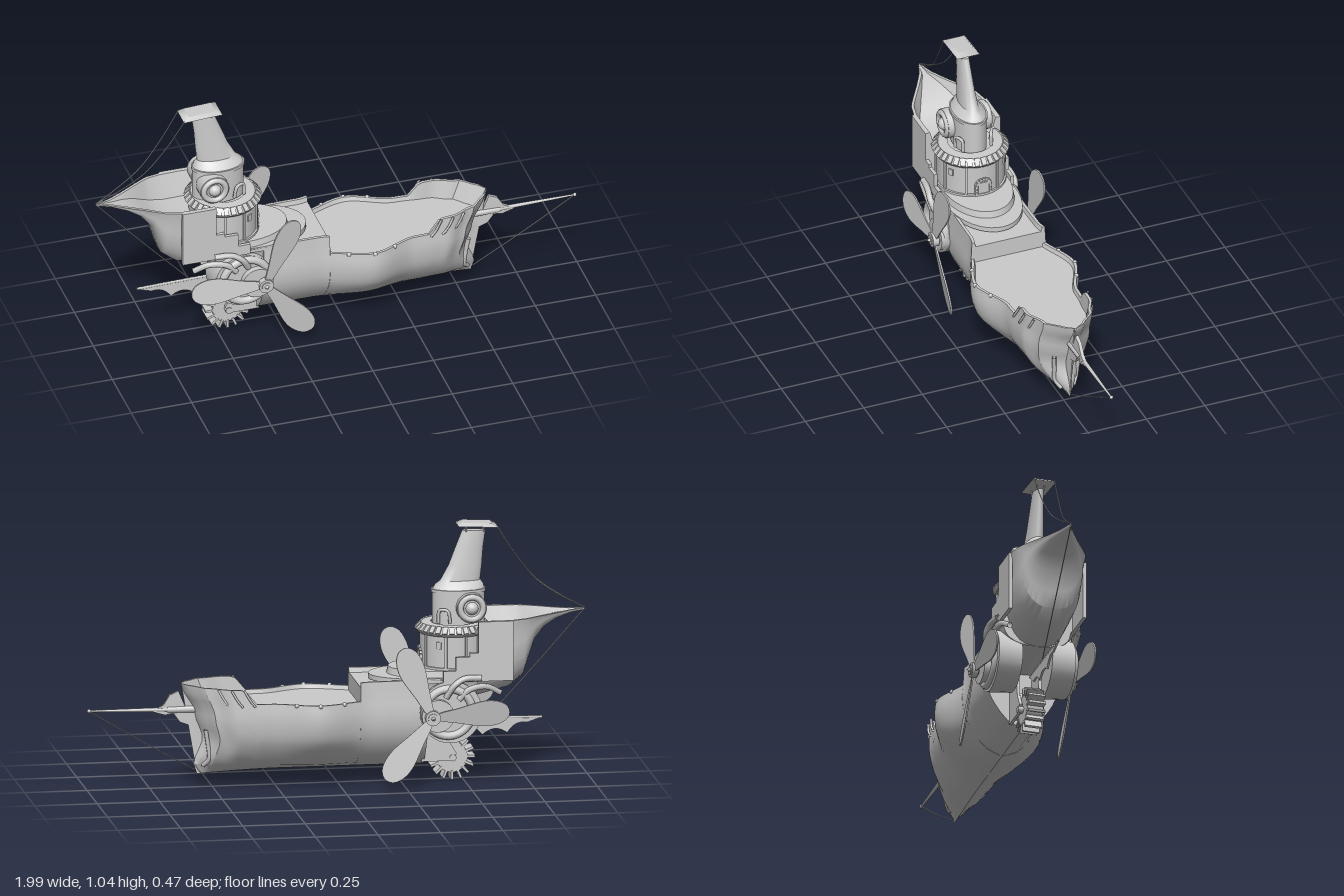
import * as THREE from 'three';
import { toCreasedNormals } from 'three/addons/utils/BufferGeometryUtils.js';

const mat = new THREE.MeshStandardMaterial({ color: 0xcccccc, side: THREE.DoubleSide });
const V = (x, y, z) => new THREE.Vector3(x, y, z);

export function createModel() {
  const root = new THREE.Group();
  const add = (name, geo, pos = [0, 0, 0], rot = [0, 0, 0], parent = root) => {
    const m = new THREE.Mesh(geo, mat);
    m.name = name;
    m.position.set(...pos);
    m.rotation.set(...rot);
    parent.add(m);
    return m;
  };
  const cyl = (r1, r2, h, n = 24) => new THREE.CylinderGeometry(r1, r2, h, n);
  const box = (x, y, z) => new THREE.BoxGeometry(x, y, z);
  const tube = (name, pts, r, parent = root) =>
    add(name, new THREE.TubeGeometry(new THREE.CatmullRomCurve3(pts.map(p => V(...p))), 20, r, 6), [0, 0, 0], [0, 0, 0], parent);
  const plate = (pts, depth, spline = false) => {
    const p = pts.map(a => new THREE.Vector2(...a));
    const s = new THREE.Shape();
    if (spline) { s.moveTo(p[0].x, p[0].y); s.splineThru(p.slice(1)); } else s.setFromPoints(p);
    return new THREE.ExtrudeGeometry(s, { depth, bevelEnabled: false, curveSegments: 20 }).translate(0, 0, -depth / 2);
  };
  // Smoothed lookup in a table of [x, value...] rows
  const lookup = (rows, x, smooth = true) => {
    let i = 0;
    while (i < rows.length - 2 && x > rows[i + 1][0]) i++;
    let t = THREE.MathUtils.clamp((x - rows[i][0]) / (rows[i + 1][0] - rows[i][0]), 0, 1);
    if (smooth) t = t * t * (3 - 2 * t);
    return rows[i][1] + (rows[i + 1][1] - rows[i][1]) * t;
  };
  // Skin closed sections, each mirrored from its half outline, with end caps
  const loft = (halves, crease = 0.6) => {
    const rings = halves.map(h => [...h, ...h.slice(1, -1).reverse().map(p => V(p.x, p.y, -p.z))]);
    const n = rings[0].length, pos = [], idx = [];
    rings.flat().forEach(p => pos.push(p.x, p.y, p.z));
    for (let i = 0; i < rings.length - 1; i++)
      for (let j = 0; j < n; j++) {
        const a = i * n + j, b = i * n + (j + 1) % n;
        idx.push(a, a + n, b, b, a + n, b + n);
      }
    const last = (rings.length - 1) * n;
    for (let j = 1; j < n - 1; j++) idx.push(0, j, j + 1, last, last + j + 1, last + j);
    const g = new THREE.BufferGeometry();
    g.setAttribute('position', new THREE.Float32BufferAttribute(pos, 3));
    g.setIndex(idx);
    return toCreasedNormals(g, crease);
  };

  // Main hull with bulwark, sunken deck and curved stem
  const width = [[-0.34, 0.152], [-0.12, 0.155], [0.1, 0.222], [0.29, 0.155], [0.42, 0.147], [0.5, 0.11], [0.545, 0.06], [0.57, 0.008]];
  const stem = [[0.05, 0.555], [0.09, 0.575], [0.2, 0.54], [0.3, 0.57], [0.42, 0.625]];
  const flare = [[0.065, 0], [0.075, 0.25], [0.11, 0.5], [0.15, 0.7], [0.2, 0.89], [0.25, 0.97], [0.3, 1], [0.36, 0.97], [0.43, 0.95]];
  const stations = [];
  for (let i = 0; i <= 12; i++) stations.push([-0.34 + 0.27 * i / 12, 0.43, 0.41]);
  for (let i = 0; i <= 20; i++) stations.push([-0.069 + 0.409 * i / 20, 0.355, 0.338]);
  for (let i = 1; i <= 14; i++) stations.push([0.34 + 0.23 * i / 14, i < 3 ? 0.355 + 0.025 * i : 0.41 + i * 0.0008, 0.338]);
  add('hull', loft(stations.map(([x, rail, deck]) => {
    const w = lookup(width, x), k = THREE.MathUtils.clamp((x - 0.25) / 0.32, 0, 1) ** 1.5;
    const at = (y, z) => V(x + k * (lookup(stem, y) - 0.57), y - (y < 0.08 ? 0.012 * k : 0), z);
    const half = [];
    for (let i = 0; i <= 12; i++) {
      const y = 0.065 + (rail - 0.065) * i / 12;
      half.push(at(y, w * lookup(flare, y, false)));
    }
    const top = w * lookup(flare, rail, false), inner = Math.max(top - 0.012, 0.002);
    return [...half, at(rail, inner), at(deck, inner * 0.97), at(deck, 0)];
  })));

  // Raised stern sweeping up to a pointed tail: x, half width, bottom, top, floor
  const stern = [[-0.99, 0.003, 0.662, 0.67, 0.669], [-0.93, 0.026, 0.653, 0.667, 0.66], [-0.87, 0.06, 0.635, 0.665, 0.645], [-0.82, 0.09, 0.605, 0.665, 0.625],
    [-0.78, 0.115, 0.555, 0.664, 0.6], [-0.755, 0.13, 0.48, 0.663, 0.585], [-0.735, 0.14, 0.415, 0.662, 0.575],
    [-0.68, 0.152, 0.37, 0.66, 0.56], [-0.6, 0.154, 0.35, 0.66, 0.56], [-0.541, 0.152, 0.335, 0.66, 0.56],
    [-0.54, 0.15, 0.335, 0.43, 0.42], [-0.33, 0.15, 0.3, 0.43, 0.42]];
  add('stern', loft(stern.map(([x, w, b, t, f]) => {
    const half = [];
    for (let i = 0; i <= 8; i++) {
      const a = i / 8 * Math.PI / 2;
      half.push(V(x, b + (t - b) * (1 - Math.cos(a)) * 0.8, w * 0.92 * Math.sin(a) ** 0.7));
    }
    const inner = Math.max(w - 0.012, 0.001);
    return [...half, V(x, t, w), V(x, t, inner), V(x, f, inner * 0.8), V(x, f, 0)];
  })));

  // Terraces leading up to the tower
  add('lowerTerrace', cyl(0.15, 0.15, 0.02, 40).scale(1.5, 1, 1), [-0.35, 0.425, 0]);
  add('upperTerrace', cyl(0.135, 0.14, 0.03, 40).scale(1.45, 1, 1), [-0.4, 0.447, 0]);

  // Round tower with tiled cornice, arched door, ribs and windows
  const tower = new THREE.Group();
  tower.name = 'tower';
  tower.position.set(-0.465, 0, 0);
  root.add(tower);
  add('towerWall', cyl(0.135, 0.135, 0.16, 40), [0, 0.53, 0], [0, 0, 0], tower);
  add('towerBase', cyl(0.143, 0.143, 0.012, 40), [0, 0.465, 0], [0, 0, 0], tower);
  const profile = [[0.1, 0.595], [0.142, 0.597], [0.15, 0.607], [0.13, 0.632], [0.09, 0.635]];
  add('corniceRoof', toCreasedNormals(new THREE.LatheGeometry(profile.map(p => new THREE.Vector2(...p)), 40), 0.5), [0, 0, 0], [0, 0, 0], tower);
  for (let i = 0; i < 32; i++) {
    const a = i / 32 * Math.PI * 2;
    add('corniceTile', box(0.032, 0.008, 0.02), [0.14 * Math.cos(a), 0.622, 0.14 * Math.sin(a)], [0, -a, -0.8], tower);
  }
  add('door', box(0.006, 0.05, 0.044), [0.136, 0.495, 0], [0, 0, 0], tower);
  for (let i = 0; i < 9; i++) {
    const a = i / 8 * Math.PI;
    add('doorArchStone', box(0.014, 0.011, 0.012), [0.134, 0.505 + 0.03 * Math.sin(a), 0.03 * Math.cos(a)], [-a, 0, 0], tower);
  }
  for (const s of [-1, 1]) {
    for (let i = 0; i < 3; i++) add('doorJambStone', box(0.014, 0.01, 0.011), [0.132, 0.472 + i * 0.013, s * 0.03], [0, 0, 0], tower);
    for (const a of [0.5, 1.2, 1.8])
      add('towerRib', box(0.012, 0.14, 0.01), [0.135 * Math.cos(a), 0.53, s * 0.135 * Math.sin(a)], [0, -s * a, 0], tower);
    const a = 0.98;
    add('towerWindow', box(0.012, 0.028, 0.02), [0.134 * Math.cos(a), 0.56, s * 0.134 * Math.sin(a)], [0, -s * a, 0], tower);
  }

  // Boiler house with domed top and tall leaning funnel
  add('boiler', cyl(1, 1, 0.145, 40).scale(0.105, 1, 0.066), [-0.485, 0.695, 0]);
  add('boilerBand', cyl(1, 1, 0.012, 40).scale(0.109, 1, 0.07), [-0.485, 0.762, 0]);
  const ellipses = [[0.765, -0.485, 0.105, 0.066], [0.785, -0.488, 0.096, 0.05], [0.8, -0.492, 0.08, 0.034], [0.86, -0.512, 0.067, 0.029], [0.93, -0.528, 0.056, 0.024], [1.0, -0.547, 0.047, 0.02]];
  add('funnel', loft(ellipses.map(([y, cx, rx, rz]) => Array.from({ length: 17 }, (_, i) => {
    const a = i / 16 * Math.PI;
    return V(cx + rx * Math.cos(a), y, rz * Math.sin(a));
  }))));
  add('funnelCap', cyl(0.7, 1, 0.014, 4).rotateY(Math.PI / 4).scale(0.113, 1, 0.068), [-0.56, 1.026, 0], [0, 0, 0.05]);
  for (const x of [-0.585, -0.515]) for (const z of [-0.015, 0.015]) add('capStrut', cyl(0.003, 0.003, 0.03, 6), [x, 1.01, z]);

  // Side pieces, built once per side
  const blade = plate([[0.02, 0.014], [0.1, 0.032], [0.2, 0.055], [0.27, 0.05], [0.305, 0.02], [0.3, -0.02], [0.26, -0.045], [0.2, -0.05], [0.1, -0.03], [0.02, -0.014], [0.02, 0.014]], 0.006, true);
  blade.rotateX(0.18);
  const panel = plate([[-0.68, 0.42], [-0.68, 0.66], [-0.54, 0.66], [-0.54, 0.535], [-0.505, 0.535], [-0.505, 0.52], [-0.45, 0.52], [-0.45, 0.465], [-0.4, 0.465], [-0.4, 0.42]], 0.014);
  for (const s of [-1, 1]) {
    const side = new THREE.Group();
    side.name = s > 0 ? 'frontSide' : 'backSide';
    root.add(side);
    const put = (name, geo, pos, rot) => add(name, geo, [pos[0], pos[1], pos[2] * s], rot, side);
    const X = [Math.PI / 2, 0, 0];
    put('steppedPanel', panel, [0, 0, 0.153]);
    // Eye-like porthole on the boiler
    put('portholeDrum', cyl(0.06, 0.06, 0.06, 32), [-0.525, 0.7, 0.06], X);
    put('portholeRing', new THREE.TorusGeometry(0.045, 0.012, 8, 32), [-0.525, 0.7, 0.09]);
    put('portholeLens', new THREE.SphereGeometry(0.026, 20, 12), [-0.525, 0.7, 0.086]);
    tube('boilerPipe', [[-0.44, 0.64, s * 0.075], [-0.43, 0.69, s * 0.078], [-0.4, 0.69, s * 0.062], [-0.395, 0.64, s * 0.06]], 0.007, side);
    // Engine drum, propeller shaft and three blades
    put('engineDrum', cyl(0.115, 0.125, 0.1, 32), [-0.43, 0.3, 0.11], X);
    put('engineCollar', new THREE.TorusGeometry(0.095, 0.016, 10, 32), [-0.42, 0.3, 0.162]);
    put('gearHousing', cyl(0.065, 0.065, 0.06, 24), [-0.375, 0.29, 0.155], X);
    put('shaft', cyl(0.02, 0.02, 0.07, 16), [-0.35, 0.288, 0.185], X);
    put('hub', cyl(0.03, 0.03, 0.025, 16), [-0.35, 0.288, 0.203], X);
    put('hubNut', new THREE.ConeGeometry(0.015, 0.024, 8), [-0.35, 0.288, 0.222], [s * Math.PI / 2, 0, 0]);
    for (let i = 0; i < 3; i++) put('propellerBlade', blade, [-0.35, 0.288, 0.203], [0, 0, (66 + 120 * i - (i === 1 ? 10 : 0)) * Math.PI / 180]);
    tube('exhaustPipe', [[-0.55, 0.435, s * 0.165], [-0.48, 0.435, s * 0.175], [-0.44, 0.41, s * 0.18], [-0.41, 0.36, s * 0.165]], 0.013, side);
    tube('intakePipe', [[-0.63, 0.37, s * 0.14], [-0.57, 0.4, s * 0.16], [-0.5, 0.39, s * 0.17], [-0.46, 0.35, s * 0.165]], 0.012, side);
    put('wheelBracket', plate([[-0.33, 0.28], [-0.43, 0.28], [-0.44, 0.16], [-0.47, 0.11], [-0.45, 0.08], [-0.33, 0.08]], 0.012), [0, 0, 0.045]);
    // Bow straps, rail studs and anchor chain
    for (const x of [0.36, 0.41, 0.46])
      tube('bowStrap', [[x - 0.01, 0.345, s * (lookup(width, x) + 0.002)], [x + 0.01, 0.37, s * (lookup(width, x) + 0.002)], [x + 0.035, 0.413, s * (lookup(width, x) - 0.004)]], 0.005, side);
    for (const x of [0, 0.1, 0.19]) put('railStud', new THREE.SphereGeometry(0.009, 10, 8), [x, 0.352, lookup(width, x) * 0.96]);
    tube('bowRib', [[0.535, 0.24, s * 0.055], [0.525, 0.18, s * 0.05], [0.52, 0.12, s * 0.045], [0.54, 0.09, s * 0.025]], 0.009, side);
    tube('funnelRope', [[-0.99, 0.672, 0], [-0.9, 0.72, s * 0.012], [-0.8, 0.79, s * 0.024], [-0.71, 0.9, s * 0.035], [-0.635, 1.018, s * 0.042]], 0.0022, side);
  }

  // Paddle wheel under the stern
  add('wheelDrum', cyl(0.062, 0.062, 0.066, 28), [-0.455, 0.092, 0], [Math.PI / 2, 0, 0]);
  add('wheelAxle', cyl(0.014, 0.014, 0.11, 12), [-0.455, 0.092, 0], [Math.PI / 2, 0, 0]);
  for (let i = 0; i < 16; i++) {
    const a = i / 16 * Math.PI * 2;
    add('wheelPaddle', box(0.036, 0.01, 0.07), [-0.455 + 0.074 * Math.cos(a), 0.092 + 0.074 * Math.sin(a), 0], [0, 0, a]);
  }

  // Scalloped tail fin
  const fin = new THREE.Shape();
  fin.moveTo(-0.82, 0.235);
  fin.lineTo(-0.45, 0.24);
  fin.lineTo(-0.5, 0.2);
  fin.quadraticCurveTo(-0.55, 0.215, -0.58, 0.17);
  fin.quadraticCurveTo(-0.63, 0.215, -0.68, 0.175);
  fin.quadraticCurveTo(-0.71, 0.225, -0.76, 0.215);
  fin.closePath();
  add('tailFin', new THREE.ExtrudeGeometry(fin, { depth: 0.008, bevelEnabled: false }), [0, 0, -0.004]);
  tube('tailFinSpar', [[-0.82, 0.235, 0], [-0.65, 0.238, 0], [-0.45, 0.24, 0]], 0.006);

  // Bow ornament, bowsprit and rigging
  add('bowOrnament', plate([[0.57, 0.29], [0.61, 0.33], [0.635, 0.39], [0.67, 0.375], [0.695, 0.335], [0.74, 0.31], [0.69, 0.295], [0.655, 0.3], [0.63, 0.265], [0.59, 0.25]], 0.014));
  add('bowsprit', cyl(0.004, 0.011, 0.42, 10), [0.78, 0.317, 0], [0, 0, -Math.PI / 2 + 0.012]);
  add('bowspritSleeve', cyl(0.014, 0.016, 0.12, 10), [0.62, 0.315, 0], [0, 0, -Math.PI / 2]);
  add('bowspritKnob', new THREE.SphereGeometry(0.008, 10, 8), [0.992, 0.32, 0]);
  tube('bowRope', [[0.99, 0.318, 0], [0.78, 0.19, 0], [0.57, 0.07, 0]], 0.0022);
  tube('sternRope', [[-0.99, 0.668, 0], [-0.8, 0.455, 0], [-0.6, 0.238, 0]], 0.0022);
  return root;
}
